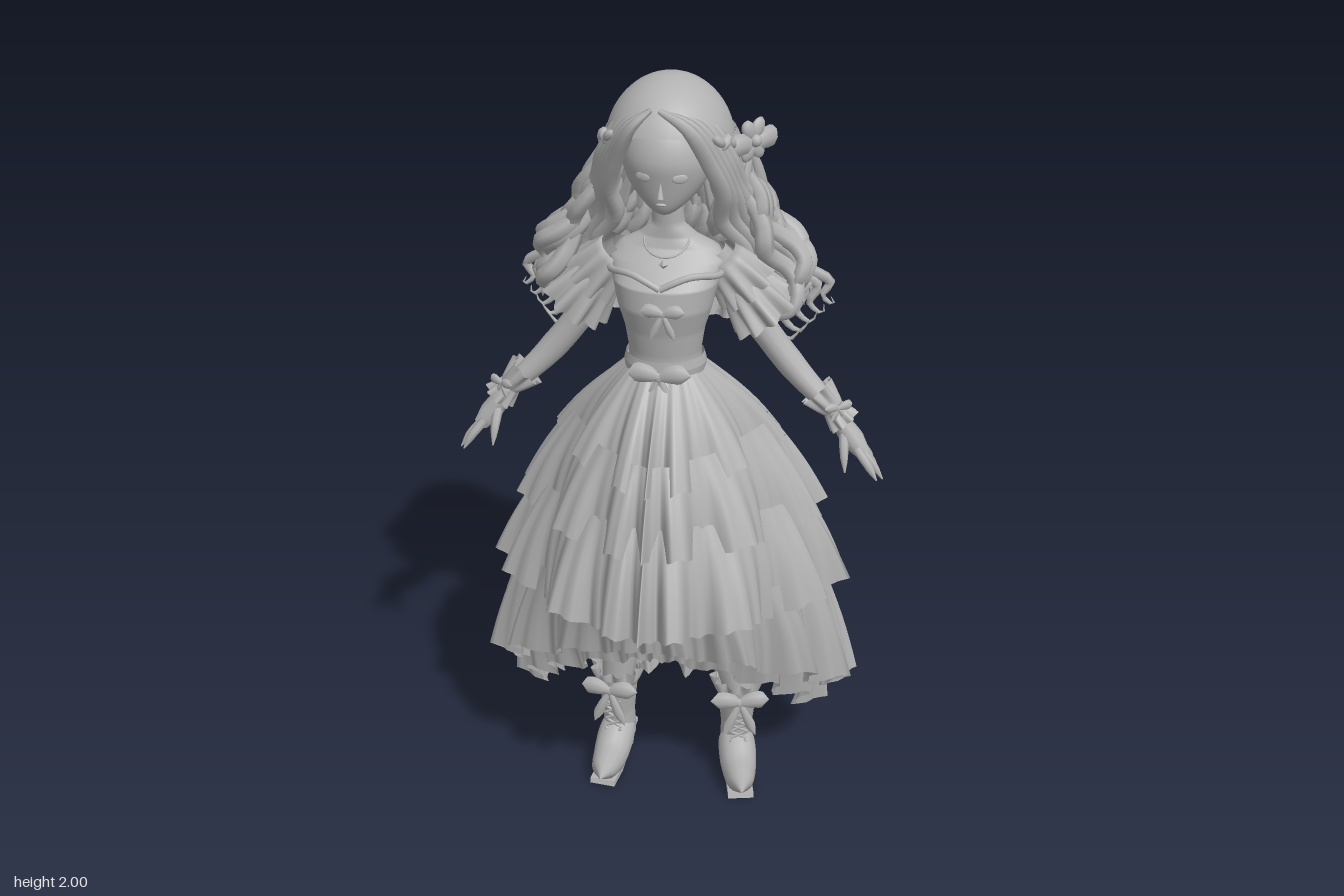
import * as THREE from 'three';
import { ParametricGeometry } from 'three/addons/geometries/ParametricGeometry.js';

const grey = new THREE.MeshStandardMaterial({ color: 0xb2b2b2, side: THREE.DoubleSide });
grey.name = 'plain grey';
const V = (p) => new THREE.Vector3(...p);
const TAU = Math.PI * 2;

// linear lookup of evenly spaced values
function look(a, t) {
  const f = Math.min(Math.max(t, 0), 1) * (a.length - 1), i = Math.min(Math.floor(f), a.length - 2);
  return a[i] + (a[i + 1] - a[i]) * (f - i);
}

function add(parent, name, geo, pos = [0, 0, 0], rot = [0, 0, 0], scale = [1, 1, 1]) {
  const m = new THREE.Mesh(geo, grey);
  m.name = name;
  m.position.set(...pos);
  m.rotation.set(...rot);
  m.scale.set(...scale);
  parent.add(m);
}

// tube of varying radius along a smooth path
function limb(pts, radii, seg = 16, sides = 10) {
  const curve = new THREE.CatmullRomCurve3(pts.map(V));
  const g = new THREE.TubeGeometry(curve, seg, 1, sides), p = g.attributes.position, v = new THREE.Vector3();
  for (let i = 0; i <= seg; i++) {
    const c = curve.getPointAt(i / seg), r = Math.max(look(radii, i / seg), 0.0005);
    for (let j = 0; j <= sides; j++) {
      const k = i * (sides + 1) + j;
      v.fromBufferAttribute(p, k).sub(c).multiplyScalar(r).add(c);
      p.setXYZ(k, v.x, v.y, v.z);
    }
  }
  return g;
}

// surface from a rule (u around, v upward)
const surface = (fn, nu, nv) => new ParametricGeometry((u, v, t) => t.set(...fn(u, v)), nu, nv);

// elliptical sections: [y, rx, rz, zCentre]
function sections(rows, nu = 32, nv = 24) {
  const col = (k) => rows.map((r) => r[k]);
  return surface((u, v) => {
    const a = u * TAU;
    return [look(col(1), v) * Math.sin(a), look(col(0), v), look(col(3), v) + look(col(2), v) * Math.cos(a)];
  }, nu, nv);
}

function bow(parent, name, pos, size, turn = 0, tail = 1) {
  const g = new THREE.Group();
  g.name = name;
  g.position.set(...pos);
  g.rotation.y = turn;
  g.scale.set(size, size, size * 0.6);
  for (const s of [-1, 1]) {
    add(g, 'bowLoop', limb([[0, 0, 0], [s * 0.5, 0.2, 0.15], [s, 0.12, 0]], [0.1, 0.3, 0.36, 0], 10, 8));
    add(g, 'bowTail', limb([[0, 0, 0], [s * 0.25, -0.5 * tail, 0.15], [s * 0.55, -1.2 * tail, 0.1]], [0.08, 0.16, 0.2, 0], 8, 6));
  }
  add(g, 'bowKnot', new THREE.SphereGeometry(0.18, 10, 8));
  parent.add(g);
}

// skirt hems: [side reach, front reach, back reach, y front, y side, y back]
const hems = [
  [0.095, 0.115, 0.055, 1.28, 1.28, 1.28],
  [0.31, 0.35, 0.31, 1.03, 1.03, 0.92],
  [0.42, 0.41, 0.40, 0.88, 0.82, 0.73],
  [0.485, 0.475, 0.475, 0.68, 0.61, 0.52],
  [0.52, 0.34, 0.44, 0.57, 0.30, 0.28],
  [0.44, 0.24, 0.41, 0.49, 0.22, 0.08],
];
function hemPoint(i, a) {
  const [rx, zf, zb, yf, ys, yb] = hems[i], c = Math.cos(a), s = Math.sin(a), z0 = i ? -0.05 : 0.03;
  const e = c > 0 && i ? 1.38 : 1, k = Math.abs(c) ** 1.5;
  const z = c > 0 ? z0 + (zf - z0) * c ** e : z0 + (zb + z0) * c;
  return [rx * Math.sign(s) * Math.abs(s) ** e, ys + ((c > 0 ? yf : yb) - ys) * k, z];
}
// flounce with folds that deepen towards the hem
function tier(i) {
  const n = 11 + i * 2;
  return surface((u, v) => {
    const a = u * TAU, b = hemPoint(i, a), t = hemPoint(i - 1, a);
    const shrink = i > 1 ? 0.82 : 1, lift = i > 1 ? 0.07 : 0, d = 1 - v;
    const wave = Math.cos(n * a + 0.9 * Math.sin(3 * a) + 0.7 * Math.sin((i + 1) * a)), fine = Math.cos(n * 3 * a + i * Math.sin(a));
    const f = 1 + (0.085 * (wave - 1) + 0.02 * (fine - 1)) * (0.2 + 0.8 * d);
    const w = d + 0.08 * Math.sin(Math.PI * d);
    const mix = (k, m) => t[k] * m + (b[k] - t[k] * m) * w;
    return [mix(0, shrink) * f, t[1] + lift + (b[1] - t[1] - lift) * d + 0.02 * wave * d * d, mix(2, shrink) * f];
  }, 240, 8);
}

// ruffled cone around an axis
function ruffle(from, to, r0, r1, n) {
  const A = V(from), B = V(to), dir = B.clone().sub(A).normalize();
  const side = new THREE.Vector3(0, 0, 1).cross(dir).normalize(), up = dir.clone().cross(side);
  return surface((u, v) => {
    const a = u * TAU, r = r0 + (r1 - r0) * v ** 0.7;
    const k = r * (1 + 0.16 * v * Math.cos(n * a));
    return A.clone().lerp(B, v).addScaledVector(side, k * Math.cos(a)).addScaledVector(up, k * Math.sin(a)).toArray();
  }, 72, 6);
}

// flow of the long hair: angle from the back, t downward, out = extra radius
function hairPoint(phi, t, out) {
  const s = Math.sin(phi), end = 1.19 + 0.16 * s ** 4;
  const y = look([1.86, 1.72, 1.58, 1.45, 1.32, 1.2], t);
  const rx = look([0.15, 0.185, 0.235, 0.31, 0.335, 0.29], t) + out, rz = look([0.14, 0.155, 0.19, 0.25, 0.28, 0.25], t) + out;
  const zc = look([-0.05, -0.06, -0.07, -0.09, -0.105, -0.115], t);
  return [rx * s, 1.86 - (1.86 - y) * (1.86 - end) / 0.66, zc - rz * Math.cos(phi)];
}

export function createModel() {
  const root = new THREE.Group();
  root.name = 'girlInTieredGown';
  const part = (name) => {
    const g = new THREE.Group();
    g.name = name;
    root.add(g);
    return g;
  };

  // gown
  const gown = part('gown');
  for (let i = 1; i < hems.length; i++) add(gown, 'skirtTier' + i, tier(i));
  add(gown, 'bodice', sections([[1.26, 0.092, 0.076, 0.035], [1.32, 0.091, 0.076, 0.038], [1.38, 0.1, 0.084, 0.04],
    [1.44, 0.118, 0.098, 0.042], [1.5, 0.13, 0.1, 0.035], [1.52, 0.13, 0.088, 0.025]]));
  add(gown, 'waistSash', sections([[1.265, 0.101, 0.086, 0.035], [1.285, 0.104, 0.088, 0.035], [1.31, 0.098, 0.084, 0.037]]));
  const neckline = [];
  for (let i = 0; i < 24; i++) {
    const a = i / 24 * TAU, c = Math.cos(a);
    neckline.push([0.138 * Math.sin(a), 1.52 + (c > 0 ? 0.022 * Math.sin(Math.abs(Math.sin(a)) * 3) - 0.012 * c ** 8 : 0), 0.025 + 0.1 * c]);
  }
  add(gown, 'necklineTrim', limb(neckline.concat([neckline[0]]), [0.009, 0.009], 72, 8));
  bow(gown, 'chestBow', [0.01, 1.45, 0.142], 0.055);
  bow(gown, 'waistBow', [0, 1.275, 0.135], 0.08, 0, 1.2);

  // upper body
  const body = part('body');
  add(body, 'shouldersAndNeck', sections([[1.46, 0.12, 0.085, 0.03], [1.5, 0.135, 0.085, 0.02], [1.54, 0.148, 0.07, 0],
    [1.575, 0.125, 0.055, -0.015], [1.6, 0.075, 0.045, -0.012], [1.63, 0.042, 0.039, -0.005], [1.7, 0.036, 0.036, 0.005], [1.74, 0.036, 0.036, 0.01]], 32, 28));
  add(body, 'necklace', new THREE.TorusGeometry(0.055, 0.003, 6, 32), [0, 1.598, 0.018], [-0.95, 0, 0]);
  add(body, 'pendant', new THREE.OctahedronGeometry(0.012), [0, 1.55, 0.068]);

  for (const s of [-1, 1]) {
    const arm = part(s > 0 ? 'leftArm' : 'rightArm'), at = (x, y, z) => [s * x, y, z];
    add(arm, 'arm', limb([at(0.11, 1.56, -0.015), at(0.165, 1.47, -0.035), at(0.225, 1.36, -0.05), at(0.32, 1.235, -0.05), at(0.43, 1.125, -0.035)],
      [0.035, 0.048, 0.042, 0.036, 0.036, 0.03, 0.022], 24, 12));
    add(arm, 'sleevePuff', ruffle(at(0.125, 1.55, -0.015), at(0.195, 1.46, -0.04), 0.05, 0.075, 9));
    add(arm, 'sleeveFrill', ruffle(at(0.165, 1.495, -0.03), at(0.245, 1.39, -0.045), 0.05, 0.088, 10));
    add(arm, 'cuffFrill', ruffle(at(0.425, 1.135, -0.035), at(0.375, 1.185, -0.04), 0.026, 0.045, 8));
    add(arm, 'cuffFrillLower', ruffle(at(0.415, 1.145, -0.035), at(0.45, 1.105, -0.033), 0.026, 0.04, 8));
    bow(arm, 'wristBow', at(0.435, 1.155, -0.005), 0.04, s * 0.6, 0.7);
    add(arm, 'palm', limb([at(0.42, 1.13, -0.035), at(0.455, 1.085, -0.03), at(0.485, 1.045, -0.025), at(0.5, 1.025, -0.025)], [0.02, 0.026, 0.03, 0.02], 10, 10));
    for (let i = 0; i < 4; i++) {
      const z = -0.06 + i * 0.023, L = [0.85, 1, 1.05, 0.95][i], dx = 0.062 - Math.abs(i - 2) * 0.008;
      add(arm, 'finger', limb([at(0.485, 1.045, -0.025 + (z + 0.025) * 0.6), at(0.485 + dx * 0.6 * L, 1.045 - 0.04 * L, z), at(0.49 + dx * L, 1.045 - 0.085 * L, z * 1.15)],
        [0.012, 0.012, 0.01, 0.002], 8, 7));
    }
    add(arm, 'thumb', limb([at(0.45, 1.085, -0.02), at(0.455, 1.035, 0.01), at(0.46, 0.985, 0.02)], [0.013, 0.013, 0.01, 0.002], 8, 7));
  }

  // legs and laced heeled boots
  for (const [name, x, hip, yaw] of [['left', 0.195, 0.07, 0.22], ['right', -0.145, -0.07, -0.12]]) {
    add(part(name + 'Leg'), 'leg', limb([[hip, 1.0, 0], [(hip + x) / 2, 0.6, 0], [x, 0.26, -0.015]], [0.085, 0.075, 0.058, 0.055, 0.042], 16, 12));
    const boot = part(name + 'Boot');
    boot.position.x = x;
    boot.rotation.y = yaw;
    add(boot, 'bootShaft', sections([[0.06, 0.04, 0.048, -0.045], [0.1, 0.044, 0.054, -0.032], [0.15, 0.043, 0.05, -0.026], [0.22, 0.05, 0.059, -0.02], [0.285, 0.057, 0.065, -0.016]], 20, 12));
    add(boot, 'bootFoot', limb([[0, 0.11, -0.05], [0, 0.085, 0], [0, 0.052, 0.06], [0, 0.042, 0.115], [0, 0.036, 0.158]], [0.035, 0.05, 0.052, 0.05, 0.045, 0.036, 0], 20, 14));
    const sole = new THREE.Shape();
    sole.moveTo(0.14, 0.004);
    sole.lineTo(0.06, 0);
    sole.quadraticCurveTo(0, 0.015, -0.04, 0.06);
    sole.lineTo(-0.09, 0.07);
    sole.lineTo(-0.085, 0.085);
    sole.quadraticCurveTo(0, 0.05, 0.06, 0.018);
    sole.lineTo(0.135, 0.018);
    add(boot, 'sole', new THREE.ExtrudeGeometry(sole, { depth: 0.07, bevelEnabled: false, curveSegments: 8 }).rotateY(-Math.PI / 2), [0.035, 0, 0]);
    add(boot, 'heel', new THREE.CylinderGeometry(0.035, 0.026, 0.085, 14), [0, 0.0425, -0.068]);
    for (let i = 0; i < 5; i++)
      for (const s of [-1, 1]) add(boot, 'lace', new THREE.CylinderGeometry(0.004, 0.004, 0.05, 6), [0, 0.11 + i * 0.025, look([0.034, 0.026, 0.028, 0.035, 0.041], i / 4)], [0, 0, s * 1.1]);
    add(boot, 'bootTopFrill', ruffle([0, 0.26, -0.016], [0, 0.31, -0.016], 0.057, 0.068, 10));
    bow(boot, 'bootBow', [0, 0.265, 0.06], 0.08, 0, 1.1);
  }

  // head and face
  const head = part('head');
  const skull = new THREE.SphereGeometry(1, 32, 24), p = skull.attributes.position;
  for (let i = 0; i < p.count; i++) {
    const y = p.getY(i), d = Math.max(0, -y);
    p.setXYZ(i, p.getX(i) * 0.112 * (1 - 0.38 * d ** 2), 1.808 + y * 0.132, -0.005 + p.getZ(i) * 0.118 * (1 - 0.25 * d) + 0.055 * d ** 2);
  }
  skull.computeVertexNormals();
  add(head, 'face', skull);
  add(head, 'nose', new THREE.ConeGeometry(0.009, 0.04, 8), [0, 1.757, 0.109], [-0.25, 0, 0]);
  add(head, 'mouth', new THREE.SphereGeometry(0.013, 12, 8), [0, 1.717, 0.099], [0, 0, 0], [1, 0.3, 0.4]);
  for (const s of [-1, 1]) add(head, 'eye', new THREE.SphereGeometry(0.02, 14, 10), [s * 0.045, 1.785, 0.098], [0, s * 0.4, 0], [1, 0.6, 0.2]);

  // hair cap and long wavy locks
  const hair = part('hair');
  add(hair, 'hairCap', new THREE.SphereGeometry(1, 40, 20, 0, TAU, 0, 1.65).rotateX(-0.5), [0, 1.82, -0.035], [0, 0, 0], [0.158, 0.178, 0.178]);
  add(hair, 'hairMass', surface((u, v) => hairPoint((0.5 - u) * 3.3, (1 - v) * 0.93, -0.025 + 0.01 * Math.cos(u * 90)), 90, 20));
  for (let layer = 0; layer < 2; layer++) {
    const n = 32 - layer * 5;
    for (let i = 0; i < n; i++) {
      const phi = (i / (n - 1) - 0.5) * (3.7 - layer * 0.25), ph = 1.3 * Math.sin(i * 2.4) + layer * 1.5, len = 1 - 0.12 * Math.abs(Math.sin(i * 1.7 + layer));
      const pts = [];
      for (let k = 0; k <= 16; k++) {
        const t = k / 16, w = Math.min(1, t * 2);
        pts.push(hairPoint(phi + 0.08 * w * Math.sin(t * 17 + ph), t * len, (layer * 0.02 - 0.014) * w + 0.02 * w * Math.cos(t * 17 + ph)));
      }
      add(hair, 'longLock', limb(pts, [0.008, 0.016, 0.02, 0.023, 0.025, 0.023, 0.015, 0.001], 40, 6));
    }
  }
  // swept locks framing the face, ending in curls
  for (const s of [-1, 1])
    for (let i = 0; i < 5; i++) {
      const o = i * 0.015, x = i * 0.016;
      add(hair, 'frontLock', limb([[s * 0.01 - 0.015, 1.95 - o * 0.2, 0.1 - o], [s * (0.065 + x * 0.6), 1.915 - o * 0.3, 0.118 - o * 1.4], [s * (0.112 + x * 0.6), 1.82, 0.08 - o],
        [s * (0.14 + x * 0.6), 1.73, 0.035 - o], [s * (0.13 + x * 1.7), 1.645, -0.01 - o], [s * (0.185 + x * 1.7), 1.56, -0.05 - o],
        [s * (0.2 + x * 2), 1.49, -0.06 - o], [s * (0.27 + x * 1.9), 1.42 + x * 0.3, -0.085 - o], [s * (0.25 + x * 1.9), 1.34 + x, -0.08 - o],
        [s * (0.295 + x * 1.7), 1.3 + x * 1.2, -0.085 - o], [s * (0.33 + x), 1.335 + x, -0.085 - o]],
        [0.006, 0.02, 0.022, 0.022, 0.021, 0.019, 0.017, 0.012, 0.001], 44, 6));
    }

  // braid around the back of the head and a flower bow on one side
  for (let i = 0; i < 30; i++) {
    const a = Math.PI + (i / 29 - 0.5) * 4.4, c = Math.cos(a);
    add(hair, 'braidStrand', new THREE.SphereGeometry(0.021, 8, 6), [0.162 * Math.sin(a), 1.83 + 0.07 * c, -0.04 + 0.18 * c],
      [0, a, (i % 2 ? 1 : -1) * 0.7], [1.2, 0.6, 0.7]);
  }
  const flower = part('hairFlower');
  flower.position.set(0.195, 1.84, -0.05);
  flower.rotation.y = 0.9;
  for (let i = 0; i < 6; i++) {
    const a = i / 6 * TAU;
    add(flower, 'petal', new THREE.SphereGeometry(0.026, 10, 8), [0.03 * Math.cos(a), 0.03 * Math.sin(a), 0.005], [0, 0, a], [1.1, 0.75, 0.45]);
  }
  add(flower, 'flowerCentre', new THREE.SphereGeometry(0.016, 10, 8), [0, 0, 0.014]);
  bow(flower, 'hairRibbon', [0, -0.02, 0], 0.085, 0, 1.5);
  return root;
}
